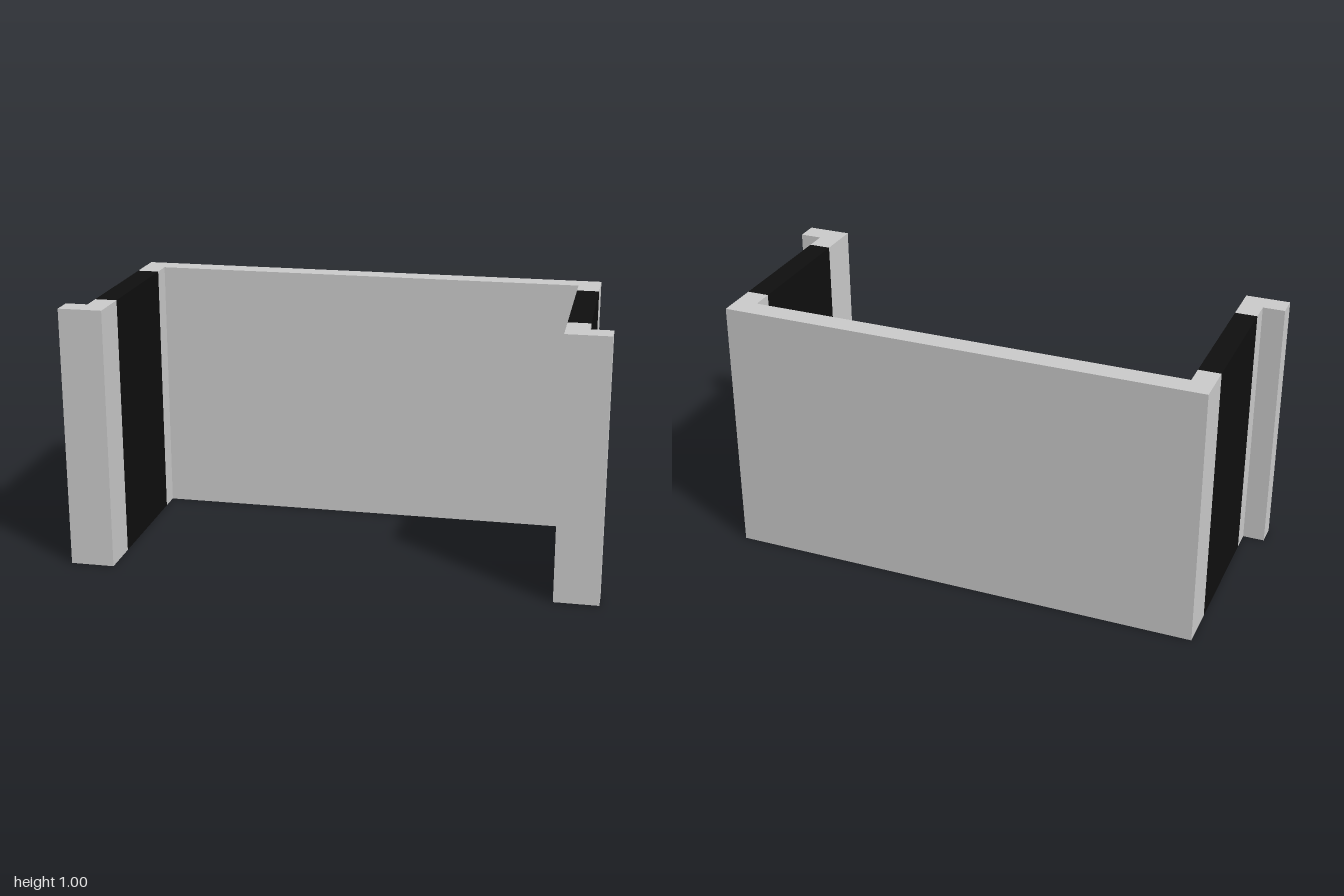
import * as THREE from 'three';

const HEIGHT = 1;
const T = 1 / 12; // wall thickness
const OUT = 11 * T, IN = 10 * T; // outer and inner faces of the side walls
const DEPTH = 5 * T; // half depth
const BAND = 0.25; // half depth of the dark side panels

export function createModel() {
  const model = new THREE.Group();
  const grey = new THREE.MeshStandardMaterial({ color: 0xcccccc });
  const black = new THREE.MeshStandardMaterial({ color: 0x0f0f0f });

  // Raise a plan outline of [x, z] points to full height
  function addWall(name, plan, material) {
    const shape = new THREE.Shape(plan.map(([x, z]) => new THREE.Vector2(x, z)));
    const geometry = new THREE.ExtrudeGeometry(shape, { depth: HEIGHT, bevelEnabled: false });
    geometry.rotateX(Math.PI / 2).translate(0, HEIGHT, 0);
    const mesh = new THREE.Mesh(geometry, material);
    mesh.name = name;
    model.add(mesh);
  }

  // Back wall with its two short corner returns
  addWall('backWall', [
    [-OUT, -DEPTH], [OUT, -DEPTH], [OUT, -BAND], [IN, -BAND],
    [IN, -DEPTH + T], [-IN, -DEPTH + T], [-IN, -BAND], [-OUT, -BAND],
  ], grey);

  for (const [side, s] of [['left', 1], ['right', -1]]) {
    // Dark panel in the middle of the side wall
    addWall(side + 'SidePanel', [
      [s * IN, -BAND], [s * OUT, -BAND], [s * OUT, BAND], [s * IN, BAND],
    ], black);

    // Front post with a lip turned outward
    addWall(side + 'FrontFlange', [
      [s * IN, BAND], [s * OUT, BAND], [s * OUT, DEPTH - T],
      [s, DEPTH - T], [s, DEPTH], [s * IN, DEPTH],
    ], grey);
  }
  return model;
}
